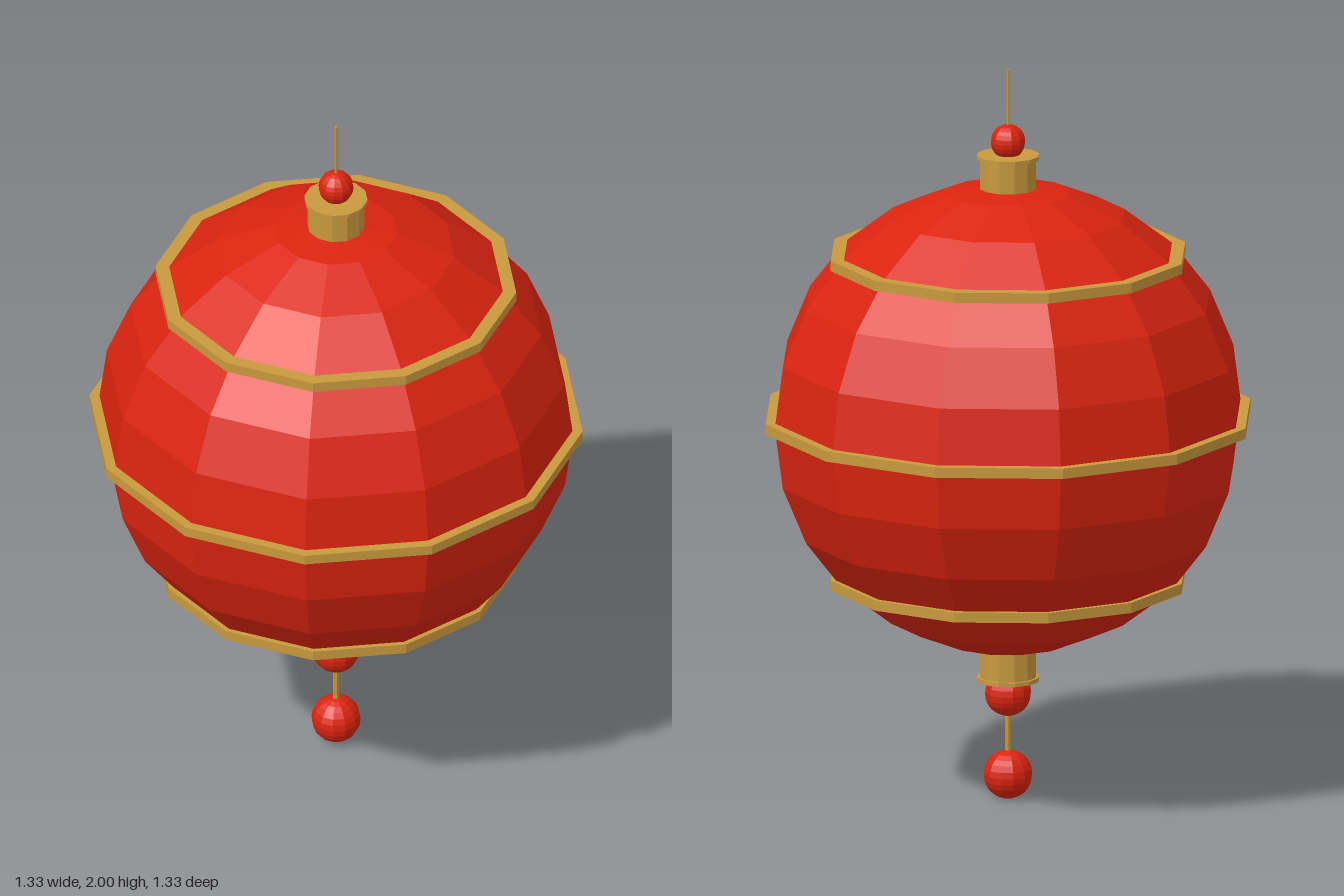
import * as THREE from 'three';

const SIDES = 12;
const CENTRE = 1.048; // height of the globe's middle

export function createModel() {
  const red = new THREE.MeshStandardMaterial({ color: 0xdb240f, flatShading: true });
  red.name = 'lantern red';
  const gold = new THREE.MeshStandardMaterial({ color: 0xc8993d, flatShading: true });
  gold.name = 'gold trim';

  const model = new THREE.Group();
  model.name = 'hangingLantern';

  const add = (name, geometry, material, y) => {
    const mesh = new THREE.Mesh(geometry, material);
    mesh.name = name;
    mesh.position.y = y;
    model.add(mesh);
  };
  const ball = (name, radius, y) =>
    add(name, new THREE.SphereGeometry(radius, SIDES, 12), red, y);
  const rod = (name, radius, bottom, top, sides = SIDES) =>
    add(name, new THREE.CylinderGeometry(radius, radius, top - bottom, sides), gold, (bottom + top) / 2);

  // Faceted paper globe
  ball('globe', 0.638, CENTRE);

  // Flat hoops around the globe
  rod('middleHoop', 0.663, CENTRE - 0.014, CENTRE + 0.014);
  for (const [name, side] of [['upperHoop', 1], ['lowerHoop', -1]]) {
    const y = CENTRE + side * 0.439;
    rod(name, 0.485, y - 0.014, y + 0.014);
  }

  // Collars with thin rims at both ends
  rod('topCollar', 0.077, 1.65, 1.76);
  rod('topRim', 0.085, 1.756, 1.767);
  rod('bottomCollar', 0.077, 0.33, 0.44);
  rod('bottomRim', 0.085, 0.324, 0.335);

  // Hanging wire and top bead
  rod('hangingWire', 0.004, 1.76, 2, 6);
  ball('topBead', 0.047, 1.803);

  // Bottom beads on a cord
  ball('upperPendantBead', 0.063, 0.29);
  rod('pendantCord', 0.008, 0.07, 0.3, 6);
  ball('lowerPendantBead', 0.066, 0.066);

  return model;
}
